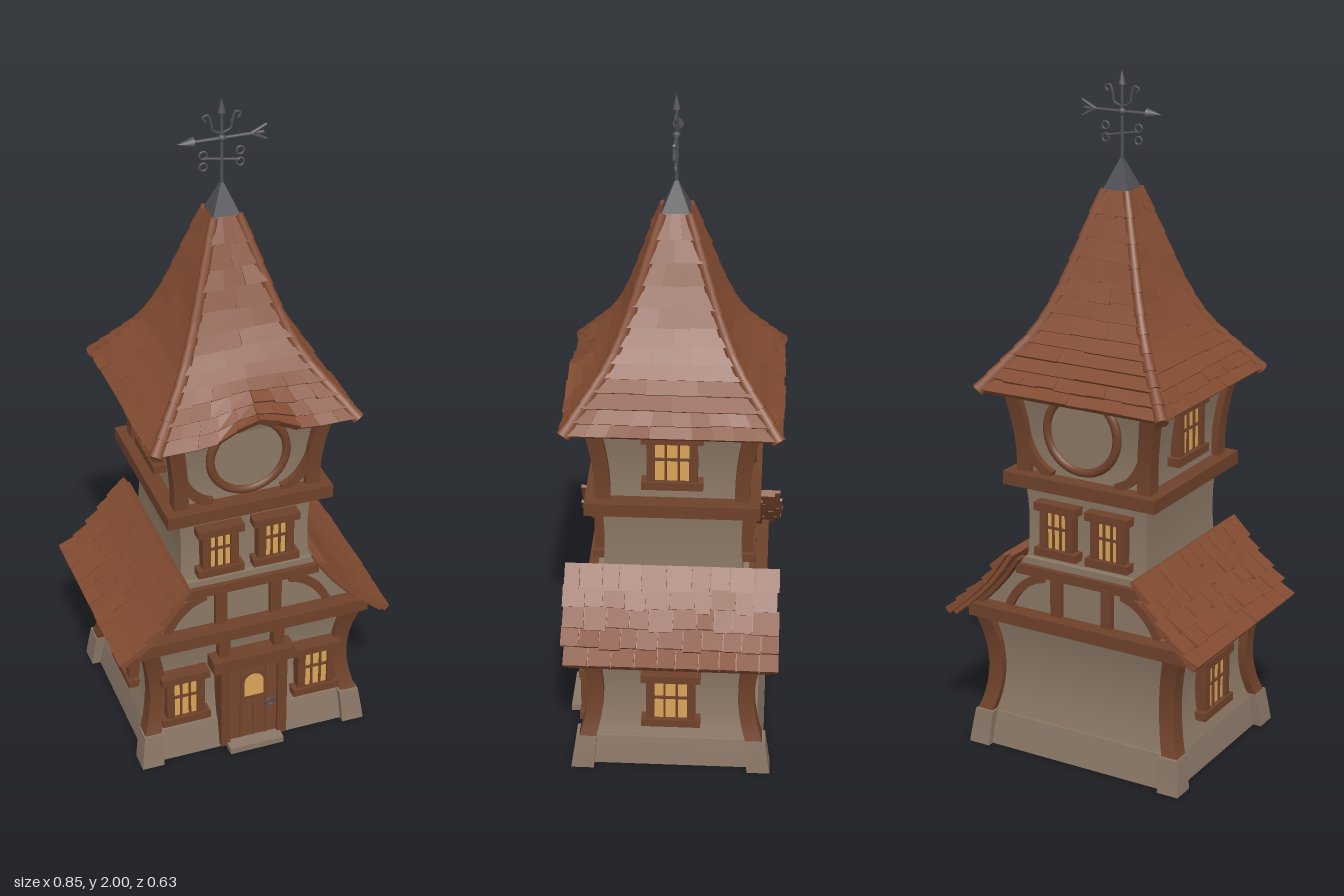
import * as THREE from 'three';
import { mergeGeometries } from 'three/addons/utils/BufferGeometryUtils.js';

const mat = (name, color) => Object.assign(new THREE.MeshStandardMaterial({ color }), { name });
const V = (x, y, z) => new THREE.Vector3(x, y, z);

export function createModel() {
  const M = {
    wall: mat('plaster', 0x8b7865), stone: mat('stone', 0x8a7767), timber: mat('timber', 0x70422b),
    roof: mat('roof shingle', 0x824b31), door: mat('door wood', 0x75462e),
    glow: mat('lit glass', 0xd9a558), metal: mat('dark metal', 0x4f4f55),
  };
  const root = new THREE.Group();
  root.name = 'clockTower';
  let seed = 7;
  const rnd = () => (seed = (seed * 16807) % 2147483647) / 2147483647;

  const add = (name, geo, m, parent = root) => {
    const mesh = new THREE.Mesh(geo, m);
    mesh.name = name;
    parent.add(mesh);
    return mesh;
  };
  const group = (name, parent = root) => {
    const g = new THREE.Group();
    g.name = name;
    parent.add(g);
    return g;
  };
  const box = (name, m, w, h, d, x, y, z, parent) => {
    const b = add(name, new THREE.BoxGeometry(w, h, d), m, parent);
    b.position.set(x, y, z);
    return b;
  };

  // Rectangular column bent through three levels [y, cx, cz, halfX, halfZ], closed at both ends
  const loft = (a, b, c, n = 10) => {
    const pos = [], idx = [], corners = [[1, 1], [1, -1], [-1, -1], [-1, 1]];
    const at = (t, [sx, sz]) => {
      const l = a.map((v, i) => v * 2 * (t - 0.5) * (t - 1) + b[i] * 4 * t * (1 - t) + c[i] * 2 * t * (t - 0.5));
      pos.push(l[1] + sx * l[3], l[0], l[2] + sz * l[4]);
    };
    for (let s = 0; s < 4; s++) {
      const o = pos.length / 3;
      for (let i = 0; i <= n; i++) { at(i / n, corners[s]); at(i / n, corners[(s + 1) % 4]); }
      for (let i = 0; i < n; i++) {
        const p = o + i * 2;
        idx.push(p, p + 1, p + 3, p, p + 3, p + 2);
      }
    }
    for (const t of [0, 1]) {
      const o = pos.length / 3;
      corners.forEach((k) => at(t, k));
      idx.push(...(t ? [0, 1, 2, 0, 2, 3] : [0, 2, 1, 0, 3, 2]).map((i) => o + i));
    }
    const g = new THREE.BufferGeometry();
    g.setAttribute('position', new THREE.Float32BufferAttribute(pos, 3));
    g.setIndex(idx);
    g.computeVertexNormals();
    return g;
  };

  // Wedge-shaped shingle over four corners, lifted more at its lower edge
  const slab = (q, lo, hi, under) => {
    const n = q[2].clone().sub(q[0]).cross(q[3].clone().sub(q[1])).normalize();
    const t = q.map((p, i) => p.clone().addScaledVector(n, i < 2 ? lo : hi));
    const p = [...t, ...q.map((v) => v.clone().addScaledVector(n, -under))];
    const faces = [[0, 1, 2, 3], [7, 6, 5, 4], [4, 5, 1, 0], [5, 6, 2, 1], [6, 7, 3, 2], [7, 4, 0, 3]];
    const pos = [];
    faces.forEach(([a, b, c, d]) => [a, b, c, a, c, d].forEach((i) => pos.push(p[i].x, p[i].y, p[i].z)));
    const g = new THREE.BufferGeometry();
    g.setAttribute('position', new THREE.Float32BufferAttribute(pos, 3));
    g.computeVertexNormals();
    return g;
  };

  // Curved flat timber through three xy points
  const brace = (name, p, w, d, z, parent) => {
    const c = new THREE.QuadraticBezierCurve(...p.map(([x, y]) => new THREE.Vector2(x, y)));
    const edge = (s) => Array.from({ length: 9 }, (_, i) => {
      const t = c.getTangent(i / 8);
      return c.getPoint(i / 8).add(new THREE.Vector2(-t.y, t.x).multiplyScalar(s * w / 2));
    });
    const shape = new THREE.Shape([...edge(-1), ...edge(1).reverse()]);
    add(name, new THREE.ExtrudeGeometry(shape, { depth: d, bevelEnabled: false }), M.timber, parent).position.z = z;
  };

  // Window with jambs, overhanging sill and lintel, and glazing bars; w and h are the glass size
  const win = (x, y, z, w, h, parent) => {
    const g = group('window', parent);
    g.position.set(x, y, z);
    box('windowGlass', M.glow, w, h, 0.008, 0, 0, 0.012, g);
    for (const s of [-1, 1]) {
      box('windowJamb', M.timber, 0.024, h + 0.02, 0.04, s * (w / 2 + 0.01), 0, 0.005, g);
      box('windowRail', M.timber, w + 0.075, 0.025, 0.05, 0, s * (h / 2 + 0.012), 0.006, g);
      box('glazingBar', M.timber, 0.006, h, 0.008, s * w / 5.5, 0, 0.018, g);
    }
    box('glazingBar', M.timber, w, 0.007, 0.008, 0, 0.008, 0.018, g);
  };

  // Stone footing with flared corner blocks
  add('footing', loft([0, 0, 0, 0.33, 0.275], [0.05, 0, 0, 0.322, 0.265], [0.1, 0, 0, 0.312, 0.255]), M.stone);
  box('doorStep', M.stone, 0.17, 0.02, 0.06, 0, 0.01, 0.29);
  // Plaster walls of the three storeys
  add('groundWall', loft([0.09, 0, 0, 0.315, 0.25], [0.25, 0, 0, 0.288, 0.226], [0.42, 0, 0, 0.318, 0.25]), M.wall);
  add('middleWall', loft([0.5, 0, 0, 0.21, 0.218], [0.68, 0, 0, 0.195, 0.198], [0.84, 0, 0, 0.205, 0.205]), M.wall);
  add('upperWall', loft([0.84, 0, 0, 0.203, 0.203], [0.98, 0, 0, 0.203, 0.203], [1.135, 0, 0, 0.235, 0.235]), M.wall);
  const gable = new THREE.Shape([[-0.36, 0.42], [0.36, 0.42], [0.2, 0.6], [-0.2, 0.6]].map((p) => new THREE.Vector2(...p)));
  add('gableWall', new THREE.ExtrudeGeometry(gable, { depth: 0.44, bevelEnabled: false }), M.wall).position.z = -0.22;

  // Corner stones and bowed corner posts
  for (const x of [-1, 1]) for (const z of [-1, 1]) {
    const post = (name, m, ...l) => add(name, loft(...l.map(([y, cx, cz, r]) => [y, x * cx, z * cz, r, r])), m);
    post('cornerStone', M.stone, [0, 0.322, 0.262, 0.034], [0.05, 0.318, 0.256, 0.032], [0.105, 0.312, 0.25, 0.03]);
    post('lowerPost', M.timber, [0.1, 0.315, 0.248, 0.025], [0.25, 0.29, 0.222, 0.024], [0.41, 0.318, 0.247, 0.026]);
    post('upperPost', M.timber, [0.85, 0.2, 0.2, 0.022], [0.98, 0.204, 0.204, 0.022], [1.14, 0.232, 0.232, 0.024]);
  }

  // Timber framing, windows and clock shared by front and back
  for (const a of [0, Math.PI]) {
    const f = group(a ? 'backFrame' : 'frontFrame');
    f.rotation.y = a;
    box('floorBeam', M.timber, 0.73, 0.04, 0.05, 0, 0.42, 0.248, f);
    box('gableBeam', M.timber, 0.44, 0.03, 0.04, 0, 0.565, 0.215, f);
    box('ringBeam', M.timber, 0.5, 0.04, 0.05, 0, 0.845, 0.225, f);
    for (const s of [-1, 1]) {
      box('gablePost', M.timber, 0.035, 0.13, 0.03, s * 0.085, 0.495, 0.222, f);
      brace('gableBrace', [[s * 0.13, 0.548], [s * 0.21, 0.53], [s * 0.25, 0.44]], 0.025, 0.02, 0.212, f);
      brace('bargeBoard', [[s * 0.375, 0.42], [s * 0.28, 0.5], [s * 0.215, 0.605]], 0.03, 0.04, 0.212, f);
      brace('clockBrace', [[s * 0.105, 0.865], [s * 0.17, 0.885], [s * 0.195, 0.97]], 0.026, 0.02, 0.2, f);
      win(s * 0.085, 0.702, 0.206, 0.066, 0.115, f);
    }
    const face = add('clockFace', new THREE.CylinderGeometry(0.112, 0.112, 0.03, 40), M.wall, f);
    face.rotation.x = Math.PI / 2;
    face.position.set(0, 1.01, 0.208);
    add('clockRim', new THREE.TorusGeometry(0.114, 0.013, 10, 48), M.timber, f).position.set(0, 1.01, 0.222);
  }

  // Side beams and windows
  for (const s of [-1, 1]) {
    const f = group(s > 0 ? 'leftSide' : 'rightSide');
    f.rotation.y = s * Math.PI / 2;
    box('ringBeam', M.timber, 0.5, 0.04, 0.05, 0, 0.845, 0.225, f);
    win(0, 0.235, 0.3, 0.1, 0.135, f);
    win(0, 0.997, 0.207, 0.1, 0.125, f);
    win(s * 0.0 + s * 0.21, 0.213, 0, 0, 0, new THREE.Group());
  }

  // Front door and ground windows
  const entry = group('entrance');
  for (const s of [-1, 1]) {
    win(s * 0.208, 0.213, 0.242, 0.075, 0.13, entry);
    box('doorJamb', M.timber, 0.03, 0.31, 0.06, s * 0.09, 0.165, 0.258, entry);
  }
  box('doorPanel', M.door, 0.16, 0.29, 0.05, 0, 0.155, 0.252, entry);
  for (const x of [-0.04, 0, 0.04]) box('doorGroove', M.timber, 0.004, 0.27, 0.004, x, 0.155, 0.277, entry);
  box('doorLintel', M.timber, 0.255, 0.042, 0.07, 0, 0.316, 0.256, entry);
  box('porchPost', M.timber, 0.035, 0.08, 0.03, 0.085, 0.37, 0.25, entry);
  box('porchPost', M.timber, 0.035, 0.08, 0.03, -0.085, 0.37, 0.25, entry);
  const arch = (r, h) => new THREE.Shape().moveTo(-r, -h).lineTo(r, -h).lineTo(r, 0).absarc(0, 0, r, 0, Math.PI);
  const plate = (d) => ({ depth: d, bevelEnabled: false });
  add('doorWindowFrame', new THREE.ExtrudeGeometry(arch(0.041, 0.062), plate(0.008)), M.timber, entry).position.set(0, 0.233, 0.276);
  add('doorWindow', new THREE.ExtrudeGeometry(arch(0.03, 0.05), plate(0.006)), M.glow, entry).position.set(0, 0.233, 0.28);
  add('doorHandle', new THREE.TorusGeometry(0.012, 0.004, 6, 16), M.metal, entry).position.set(0.052, 0.14, 0.282);

  // Side roofs of staggered shingles
  const sideCurve = new THREE.CatmullRomCurve3([V(0.41, 0.412, 0), V(0.335, 0.478, 0), V(0.268, 0.55, 0), V(0.208, 0.635, 0)]);
  const patch = (z, t0, z1, t1) => [[z, t0], [z1, t0], [z1, t1], [z, t1]].map(([zz, t]) => sideCurve.getPoint(Math.min(1, Math.max(0, t))).setZ(zz));
  for (const a of [0, Math.PI]) {
    const parts = [];
    for (let r = 0; r < 5; r++) {
      parts.push(slab(patch(0.29, r / 5, -0.29, (r + 1) / 5), 0.004, 0.004, 0.016));
      for (let z = 0.305 + rnd() * 0.012; z > -0.27;) {
        let z1 = z - 0.045 - rnd() * 0.03;
        if (z1 < -0.27) z1 = -0.305 - rnd() * 0.012;
        parts.push(slab(patch(z, r / 5 - rnd() * 0.05, z1 + 0.003, (r + 1) / 5), 0.016 + rnd() * 0.008, 0.006, 0.004));
        z = z1;
      }
    }
    add('sideRoof', mergeGeometries(parts), M.roof).rotation.y = a;
  }

  // Bell-shaped main roof; the front eave arches over the clock
  const bell = new THREE.CatmullRomCurve3([V(0.298, 1.112, 0), V(0.238, 1.19, 0), V(0.176, 1.275, 0), V(0.127, 1.385, 0), V(0.083, 1.52, 0), V(0.036, 1.67, 0)]);
  const roofPoint = (k, u, t) => {
    const { x: h, y } = bell.getPoint(Math.min(1, Math.max(0, t)));
    const x = u * h;
    const rise = k === 0 && Math.abs(x) < 0.15 ? 0.05 * Math.cos(x / 0.15 * Math.PI / 2) ** 2 * (1 - t) ** 5 : 0;
    return V(x, y + rise, h).applyAxisAngle(V(0, 1, 0), k * Math.PI / 2);
  };
  const shingles = [], rows = 12;
  for (let k = 0; k < 4; k++) for (let r = 0; r < rows; r++) {
    const t0 = r / rows, t1 = (r + 1) / rows;
    const cols = r < 2 ? 10 : k === 0 && r < 4 ? 8 : 2 + (r % 2);
    for (let c = 0; c < cols; c++) {
      const u0 = -1 + 2 * c / cols, u1 = -1 + 2 * (c + 1) / cols, drop = t0 - rnd() * 0.015;
      const q = [[u0, drop], [u1, drop], [u1, t1], [u0, t1]].map(([u, t]) => roofPoint(k, u, t));
      shingles.push(slab(q, 0.011 + rnd() * 0.008, 0.003, 0.012));
    }
  }
  add('mainRoof', mergeGeometries(shingles), M.roof);

  // Overlapping ridge tiles along the four hips
  const tube = (name, p, q, r0, r1, m, parent) => {
    const d = q.clone().sub(p), c = add(name, new THREE.CylinderGeometry(r1, r0, d.length(), 10), m, parent);
    c.position.copy(p).addScaledVector(d, 0.5);
    c.quaternion.setFromUnitVectors(V(0, 1, 0), d.normalize());
  };
  const hips = group('hipTiles');
  for (let k = 0; k < 4; k++) for (let i = 0; i < 11; i++) {
    const [p, q] = [i / 11, (i + 1.1) / 11].map((t) => roofPoint(k, 1, t));
    tube('hipTile', p, q, 0.02 - i * 0.0004, 0.016 - i * 0.0004, M.roof, hips);
  }

  // Metal cap and flat weathervane
  const cap = add('roofCap', new THREE.ConeGeometry(0.064, 0.11, 4).toNonIndexed(), M.metal);
  cap.geometry.computeVertexNormals();
  cap.rotation.y = Math.PI / 4;
  cap.position.y = 1.71;
  const vane = group('weathervane');
  tube('vaneRod', V(0, 1.74, 0), V(0, 1.97, 0), 0.005, 0.004, M.metal, vane);
  tube('vaneTip', V(0, 1.96, 0), V(0, 2, 0), 0.011, 0.0005, M.metal, vane);
  tube('arrowShaft', V(-0.1, 1.885, 0), V(0.12, 1.885, 0), 0.005, 0.005, M.metal, vane);
  tube('arrowHead', V(-0.08, 1.885, 0), V(-0.125, 1.885, 0), 0.016, 0.0005, M.metal, vane);
  tube('crossBar', V(-0.05, 1.832, 0), V(0.05, 1.815, 0), 0.004, 0.004, M.metal, vane);
  for (const s of [-1, 1]) {
    tube('arrowTail', V(0.085, 1.885, 0), V(0.128, 1.885 + s * 0.022, 0), 0.006, 0.004, M.metal, vane);
    const scroll = new THREE.CatmullRomCurve3([[0.003, 1.9], [0.025, 1.91], [0.03, 1.935], [0.04, 1.957], [0.054, 1.95], [0.046, 1.938]].map(([x, y]) => V(s * x, y, 0)));
    add('vaneScroll', new THREE.TubeGeometry(scroll, 24, 0.0035, 6), M.metal, vane);
    for (const y of [1.808, 1.842]) add('vaneRing', new THREE.TorusGeometry(0.011, 0.003, 6, 16), M.metal, vane).position.set(s * 0.053, y, 0);
  }
  add('vaneKnob', new THREE.SphereGeometry(0.011, 12, 8), M.metal, vane).position.y = 1.885;
  return root;
}
